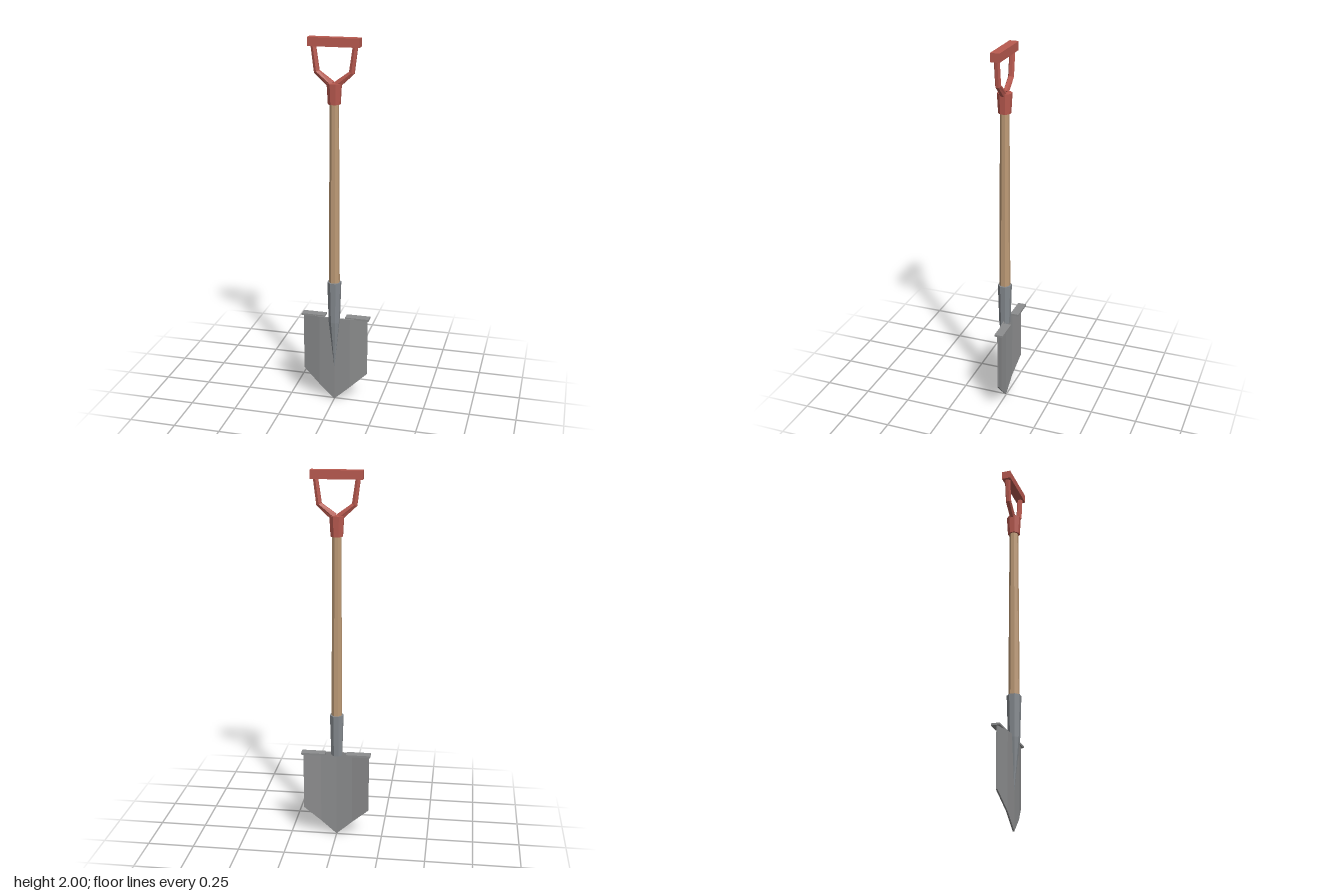
import * as THREE from 'three';

const AXIS_Z = 0.009; // depth of the shaft's centre line

const paint = (name, color) => {
  const m = new THREE.MeshStandardMaterial({ color, flatShading: true });
  m.name = name;
  return m;
};

// Closed skin over a row of equal-sized rings, with flat end caps
function loft(rings) {
  const n = rings[0].length, tris = [];
  for (let i = 0; i < rings.length - 1; i++) {
    for (let j = 0; j < n; j++) {
      const k = (j + 1) % n;
      const a = rings[i][j], b = rings[i][k], c = rings[i + 1][k], d = rings[i + 1][j];
      tris.push([a, b, c], [a, c, d]);
    }
  }
  const last = rings[rings.length - 1];
  for (let j = 1; j < n - 1; j++) {
    tris.push([rings[0][0], rings[0][j + 1], rings[0][j]], [last[0], last[j], last[j + 1]]);
  }
  // Turn the skin outward if the rings ran the other way
  const volume = tris.reduce((s, [a, b, c]) => s + a.dot(b.clone().cross(c)), 0);
  const points = tris.flatMap((t) => (volume < 0 ? [t[0], t[2], t[1]] : t));
  const geometry = new THREE.BufferGeometry().setFromPoints(points);
  geometry.computeVertexNormals();
  return geometry;
}

// Eight-sided tapered rod with flats facing front and sides
function rod(topRadius, bottomRadius, bottom, top) {
  return new THREE.CylinderGeometry(topRadius, bottomRadius, top - bottom, 8)
    .rotateY(Math.PI / 8)
    .translate(0, (top + bottom) / 2, AXIS_Z);
}

export function createModel() {
  const group = new THREE.Group();
  const red = paint('red grip', 0xb95a50);
  const wood = paint('wood', 0xbd9a76);
  const steel = paint('blade steel', 0x8c8d8e);
  const socketSteel = paint('socket steel', 0x858a8f);

  const add = (name, geometry, material) => {
    const mesh = new THREE.Mesh(geometry, material);
    mesh.name = name;
    group.add(mesh);
  };

  // Shaft, socket and collar
  add('shaft', rod(0.024, 0.03, 0.6, 1.7), wood);
  add('socket', rod(0.038, 0.031, 0.475, 0.705), socketSteel);
  add('collar', rod(0.039, 0.033, 1.667, 1.772), red);

  // Spike: front half of a cone running down onto the blade
  const spike = rod(0.031, 0.0005, 0.2, 0.476);
  const p = spike.attributes.position;
  for (let i = 0; i < p.count; i++) p.setZ(i, Math.max(p.getZ(i), 0.006));
  spike.computeVertexNormals();
  add('spike', spike, socketSteel);

  // Pointed blade, bowed toward the front
  const columns = [[-0.178, -0.014], [-0.085, 0.005], [0, 0.01], [0.085, 0.005], [0.178, -0.014]];
  add('blade', loft(columns.map(([x, z]) => {
    const bottom = 0.003 + Math.abs(x) * 0.91;
    return [[0.49, z], [bottom, z], [bottom, z - 0.008], [0.49, z - 0.008]]
      .map(([y, depth]) => new THREE.Vector3(x, y, depth));
  })), steel);

  // Handle arms: six-sided, bent, given by outer and inner edge points
  const armEdges = [
    [[0.03, 1.755], [0.002, 1.78]],
    [[0.103, 1.823], [0.077, 1.834]],
    [[0.12, 1.96], [0.095, 1.96]],
  ];
  const hexagon = Array.from({ length: 6 }, (_, i) => (i * Math.PI) / 3);

  for (const [side, label] of [[1, 'left'], [-1, 'right']]) {
    add(`${label}HandleArm`, loft(armEdges.map(([outer, inner]) => hexagon.map((a) => {
      const t = 0.5 + Math.sin(a) / Math.sqrt(3);
      return new THREE.Vector3(
        side * THREE.MathUtils.lerp(outer[0], inner[0], t),
        THREE.MathUtils.lerp(outer[1], inner[1], t),
        AXIS_Z + 0.0155 * Math.cos(a)
      );
    }))), red);

    // Foot treads along the top edge of the blade
    add(`${label}Tread`,
      new THREE.BoxGeometry(0.13, 0.011, 0.046).translate(side * 0.122, 0.4915, -0.0245), steel);
  }

  // Crossbar grip
  add('grip', new THREE.BoxGeometry(0.267, 0.045, 0.048).translate(0, 1.9775, AXIS_Z), red);

  return group;
}
